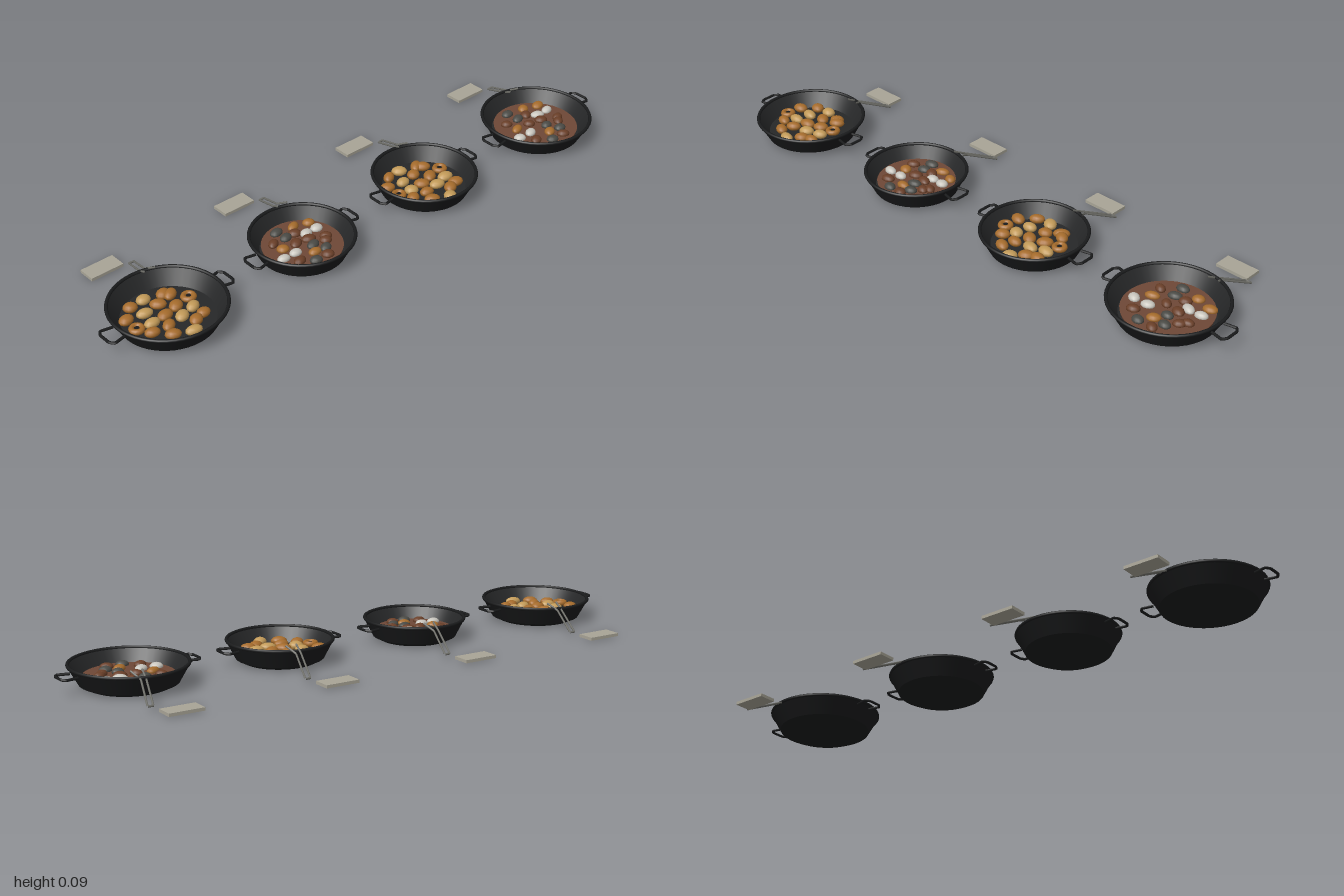
import * as THREE from 'three';

const mat = (name, color, side = THREE.FrontSide) => {
  const m = new THREE.MeshStandardMaterial({ color, side });
  m.name = name;
  return m;
};

export function createModel() {
  const M = {
    iron: mat('cast iron', 0x1a1b1c),
    inner: mat('pan interior', 0x262728),
    steel: mat('tong steel', 0x70706a),
    stone: mat('label grey', 0xa8a496),
    sauce: mat('sauce', 0x6e4836),
    gold: mat('golden brown', 0xa66c2c),
    tan: mat('light crust', 0xc29a58),
    white: mat('pale slice', 0xc8c5bd),
    slate: mat('dark shell', 0x4a4a45),
    brown: mat('braised brown', 0x6a3f28),
  };
  const root = new THREE.Group();
  root.name = 'pans';

  const add = (parent, name, geo, material, x = 0, y = 0, z = 0) => {
    const mesh = new THREE.Mesh(geo, material);
    mesh.name = name;
    mesh.position.set(x, y, z);
    parent.add(mesh);
    return mesh;
  };
  const lathe = (pts) => new THREE.LatheGeometry(pts.map(([r, y]) => new THREE.Vector2(r, y)), 48);
  const tube = (pts, r, closed = false) => {
    const path = new THREE.CurvePath();
    const v = pts.map((p) => new THREE.Vector3(...p));
    for (let i = 0; i < v.length - 1; i++) path.add(new THREE.LineCurve3(v[i], v[i + 1]));
    return new THREE.TubeGeometry(path, 32, r, 6, closed);
  };

  // Seeded variation for the food
  let seed = 7;
  const rnd = () => (seed = (seed * 16807) % 2147483647) / 2147483647;

  const lumpGeo = new THREE.SphereGeometry(1, 12, 8);
  const ringGeo = new THREE.TorusGeometry(0.016, 0.009, 8, 16).rotateX(Math.PI / 2);
  const pitGeo = new THREE.CylinderGeometry(0.008, 0.008, 0.012, 10);

  // Food positions around the pan centre, in hundredths of a unit
  const fryLayout = [
    [-7, -9], [-2, -9.5], [4, -8], [-11.3, -5], [-5.5, -4], [0, -5], [5.5, -6.5],
    [-6.5, 1], [-1.5, 0.5], [3.5, -1], [7, 2.5], [-9, 4.5], [-3.5, 5], [2, 4],
    [7.5, 6.8], [-5, 9], [0.5, 11.5], [4, 8],
  ];
  const ringLayout = [[-11.5, 0.5], [8.7, -1.8]];
  const stewLayout = [
    [-9.5, 2.5, 'white'], [-4.8, 2.5, 'white'], [4.3, -3.2, 'white'], [8.5, -3.2, 'white'],
    [-2.5, -9.5, 'slate'], [-2, -5.5, 'slate'], [2, 2.8, 'slate'], [-2.5, 9.5, 'slate'], [4, 6.5, 'slate'],
    [3.5, -8.5, 'gold'], [8.5, -7, 'gold'], [-6.5, -1.5, 'gold'], [0, 6, 'gold'],
    [-7, -5.5, 'brown'], [-1.5, -1.2, 'brown'], [3, -0.5, 'brown'], [8, 1.8, 'brown'],
    [6.5, 3.5, 'brown'], [-6.5, 6.5, 'brown'], [2.2, 9.5, 'brown'], [1.5, -5.5, 'brown'],
  ];

  function lump(parent, x, z, material, y, size) {
    const m = add(parent, 'morsel', lumpGeo, material, x, y, z);
    m.scale.set(size * (0.95 + rnd() * 0.2), size * 0.6, size * (0.72 + rnd() * 0.15));
    m.rotation.y = rnd() * 1.4 - 0.7;
  }

  function panFood(pan, R, stew) {
    const food = new THREE.Group();
    food.name = stew ? 'stew' : 'friedPieces';
    pan.add(food);
    if (stew) {
      const r = R * 0.755;
      add(food, 'sauce', new THREE.CylinderGeometry(r, r * 0.97, 0.014, 40), M.sauce, 0, 0.027, 0);
      for (const [x, z, c] of stewLayout) lump(food, x * R / 17, z * R / 17, M[c], 0.037, 0.021);
      return;
    }
    fryLayout.forEach(([x, z], i) =>
      lump(food, x / 100, z / 100, i % 3 === 1 ? M.tan : M.gold, 0.036, 0.024));
    for (const [x, z] of ringLayout) {
      add(food, 'ring', ringGeo, M.gold, x / 100, 0.038, z / 100);
      add(food, 'ringHole', pitGeo, M.iron, x / 100, 0.036, z / 100);
    }
  }

  function tongs(pan) {
    const g = new THREE.Group();
    g.name = 'tongs';
    pan.add(g);
    // Two arms joined by a bridge at the far end
    const arms = [
      [[0.027, 0.086, -0.143], [0.033, 0.067, -0.18], [0.066, 0.019, -0.287]],
      [[0.064, 0.086, -0.143], [0.05, 0.067, -0.18], [0.084, 0.019, -0.287]],
    ];
    for (const a of arms) add(g, 'tongArm', tube(a, 0.0033), M.steel);
    add(g, 'tongBridge', tube([arms[0][2], arms[1][2]], 0.0036), M.steel);
  }

  // x position, outer radius, stew or fried filling
  const pans = [[-0.775, 0.182, false], [-0.267, 0.168, true], [0.246, 0.172, false], [0.766, 0.186, true]];
  for (const [px, R, stew] of pans) {
    const pan = new THREE.Group();
    pan.name = 'pan';
    pan.position.set(px, 0, 0.088);
    root.add(pan);

    // Outer shell, inner bowl and rolled rim
    add(pan, 'panBase', lathe([[0, 0], [R * 0.67, 0], [R * 0.81, 0.012]]), M.iron);
    add(pan, 'panWall', lathe([[R * 0.81, 0.012], [R * 0.98, 0.068]]), M.iron);
    add(pan, 'panInnerWall', lathe([[R * 0.955, 0.071], [R * 0.78, 0.022]]), M.inner);
    add(pan, 'panFloor', lathe([[R * 0.78, 0.022], [0, 0.022]]), M.inner);
    const rim = new THREE.TorusGeometry(R - 0.0055, 0.0055, 8, 48).rotateX(Math.PI / 2);
    add(pan, 'rim', rim, M.iron, 0, 0.07, 0);

    // Angular loop handles on both sides
    for (const s of [-1, 1]) {
      const pts = [[0.95, -0.028], [1.16, -0.036], [1.218, -0.022], [1.218, 0.022], [1.16, 0.036], [0.95, 0.028]];
      const handle = tube(pts.map(([r, z]) => [s * r * R, 0.056, z]), 0.0045);
      add(pan, s > 0 ? 'leftHandle' : 'rightHandle', handle, M.iron);
    }

    panFood(pan, R, stew);
    tongs(pan);
    // Small plaque behind the pan
    add(pan, 'plaque', new THREE.BoxGeometry(0.115, 0.01, 0.059), M.stone, 0, 0.008, -0.334);
  }
  return root;
}
